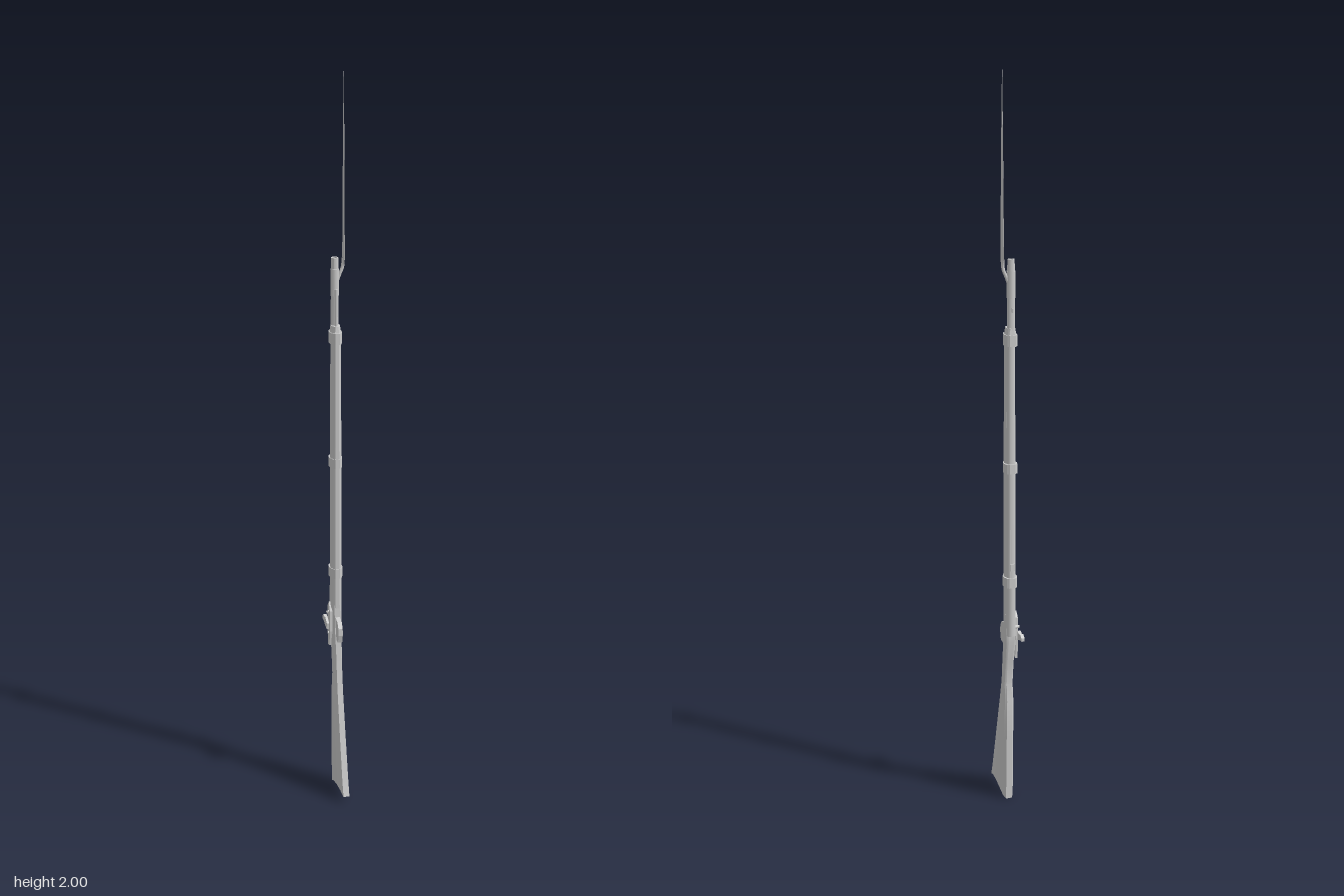
import * as THREE from 'three';
import { toCreasedNormals } from 'three/addons/utils/BufferGeometryUtils.js';

const mat = new THREE.MeshStandardMaterial({ color: 0xcccccc });

// Cross-section outline: [depth from back 0 to front 1, share of half width]
const ROUND = [[0, 0.45], [0.1, 0.8], [0.35, 1], [0.62, 0.95], [0.88, 0.7], [1, 0.35]];
const BUTT = [[0, 0.5], [0.08, 0.85], [0.3, 1], [0.55, 0.95], [0.8, 0.75], [1, 0.5]];
const DIAMOND = [[0, 0.12], [0.5, 1], [1, 0.12]];

// Lofts rows of [y, back z, front z, half width]; base(u) shapes the lowest end
function loft(rows, outline, base = () => 0) {
  const sides = [...outline, ...outline.map(([u, w]) => [u, -w]).reverse()];
  const n = sides.length, pos = [], index = [];
  rows.forEach(([y, back, front, half], i) => {
    for (const [u, w] of sides) pos.push(w * half, y + (i ? 0 : base(u)), back + (front - back) * u);
  });
  for (let i = 0; i < rows.length - 1; i++) {
    for (let j = 0; j < n; j++) {
      const k = (j + 1) % n, a = i * n + j, b = i * n + k;
      index.push(a, a + n, b, b, a + n, b + n);
    }
  }
  // End caps join the two mirrored halves
  const last = (rows.length - 1) * n;
  for (let j = 0; j < outline.length - 1; j++) {
    const a = j, b = j + 1, c = n - 2 - j, d = n - 1 - j;
    index.push(a, b, c, a, c, d);
    index.push(last + a, last + c, last + b, last + a, last + d, last + c);
  }
  const g = new THREE.BufferGeometry();
  g.setAttribute('position', new THREE.Float32BufferAttribute(pos, 3));
  g.setIndex(index);
  return toCreasedNormals(g, 0.6);
}

// Side silhouette of [z, y] points, given thickness along x around centre x
function plate(points, x, thickness) {
  const shape = new THREE.Shape(points.map(([z, y]) => new THREE.Vector2(-z, y)));
  const g = new THREE.ExtrudeGeometry(shape, { depth: thickness, bevelEnabled: false });
  return g.translate(0, 0, -thickness / 2).rotateY(Math.PI / 2).translate(x, 0, 0);
}

function rod(y0, y1, r0, r1, z, sides = 12) {
  return new THREE.CylinderGeometry(r1, r0, y1 - y0, sides).translate(0, (y0 + y1) / 2, z);
}

export function createModel() {
  const model = new THREE.Group();
  const add = (name, geometry) => {
    const mesh = new THREE.Mesh(geometry, mat);
    mesh.name = name;
    model.add(mesh);
    return mesh;
  };

  // Shoulder stock with hollowed butt, and the wrist rising to the lock
  add('buttStock', loft([
    [0, -0.037, 0.086, 0.017],
    [0.06, -0.038, 0.073, 0.017],
    [0.18, -0.04, 0.043, 0.016],
    [0.3, -0.042, 0.014, 0.0145],
    [0.35, -0.036, 0.003, 0.0135],
    [0.42, -0.044, -0.005, 0.014],
    [0.48, -0.056, -0.014, 0.0155],
    [0.52, -0.056, -0.017, 0.016],
    [0.56, -0.052, -0.02, 0.0155],
  ], BUTT, u => 0.018 * u + 0.085 * u * (1 - u)));

  // Long fore-end below the barrel
  add('foreStock', loft([
    [0.55, -0.052, -0.019, 0.0155],
    [0.95, -0.052, -0.019, 0.015],
    [1.33, -0.051, -0.021, 0.0135],
  ], ROUND));

  // Barrel with flats at the breech and an open muzzle
  const bz = -0.048;
  add('breech', rod(0.5, 0.64, 0.015, 0.0145, bz, 8));
  add('barrel', toCreasedNormals(new THREE.LatheGeometry([
    [0.013, 0.6], [0.0122, 1.0], [0.0095, 1.53], [0.006, 1.53], [0.006, 1.48], [0, 1.48],
  ].map(([r, y]) => new THREE.Vector2(r, y)), 14), 0.6).translate(0, 0, bz));
  add('frontSight', new THREE.BoxGeometry(0.003, 0.012, 0.005).translate(0, 1.4, -0.06));
  add('rearSight', new THREE.BoxGeometry(0.012, 0.02, 0.006).translate(0, 0.7, -0.061));

  // Ramrod tip showing past the fore-end
  add('ramrod', rod(1.3, 1.45, 0.0038, 0.0048, -0.032, 8));

  // Barrel bands
  for (const [y, h, half] of [[0.655, 0.028, 0.0185], [0.975, 0.026, 0.018], [1.32, 0.03, 0.017]]) {
    add('barrelBand', loft([
      [y - h / 2, -0.063, -0.017, half],
      [y + h / 2, -0.063, -0.017, half],
    ], ROUND));
  }
  add('noseCap', loft([[1.33, -0.06, -0.02, 0.0155], [1.352, -0.058, -0.024, 0.012]], ROUND));

  // Trigger guard
  add('triggerGuard', plate([
    [-0.018, 0.525], [0.006, 0.52], [0.017, 0.505], [0.018, 0.485], [0.012, 0.462], [-0.002, 0.46], [-0.012, 0.475],
  ], 0, 0.012));

  // Lock plate, its screws, and the cocked hammer
  add('lockPlate', plate([
    [-0.05, 0.43], [-0.032, 0.435], [-0.025, 0.48], [-0.027, 0.54], [-0.04, 0.565], [-0.052, 0.55], [-0.055, 0.49],
  ], -0.016, 0.007));
  for (const y of [0.47, 0.535]) {
    add('lockScrew', new THREE.CylinderGeometry(0.004, 0.004, 0.003, 8).rotateZ(Math.PI / 2).translate(-0.0205, y, -0.04));
  }
  add('hammer', plate([
    [-0.038, 0.482], [-0.036, 0.5], [-0.055, 0.512], [-0.068, 0.506], [-0.076, 0.51],
    [-0.087, 0.502], [-0.087, 0.493], [-0.072, 0.492], [-0.058, 0.486],
  ], -0.0215, 0.009));
  add('nipple', new THREE.CylinderGeometry(0.004, 0.005, 0.012, 8).rotateZ(Math.PI / 2).translate(-0.016, 0.525, -0.056));

  // Bayonet: socket, elbow and blade offset to the left
  const bayonet = new THREE.Group();
  bayonet.name = 'bayonet';
  const elbow = new THREE.CatmullRomCurve3([
    [0.006, 1.465, bz], [0.013, 1.485, bz], [0.021, 1.505, bz], [0.022, 1.53, -0.046],
  ].map(p => new THREE.Vector3(...p)));
  bayonet.add(
    add('bayonetSocket', rod(1.43, 1.5, 0.0115, 0.0115, bz)),
    add('bayonetElbow', new THREE.TubeGeometry(elbow, 10, 0.0045, 8)),
    add('bayonetBlade', loft([
      [1.508, -0.051, -0.041, 0.002],
      [1.53, -0.059, -0.033, 0.0025],
      [1.72, -0.055, -0.037, 0.002],
      [1.9, -0.05, -0.041, 0.0013],
      [2, -0.0465, -0.0455, 0.0004],
    ], DIAMOND).translate(0.023, 0, 0)),
  );
  model.add(bayonet);
  return model;
}
